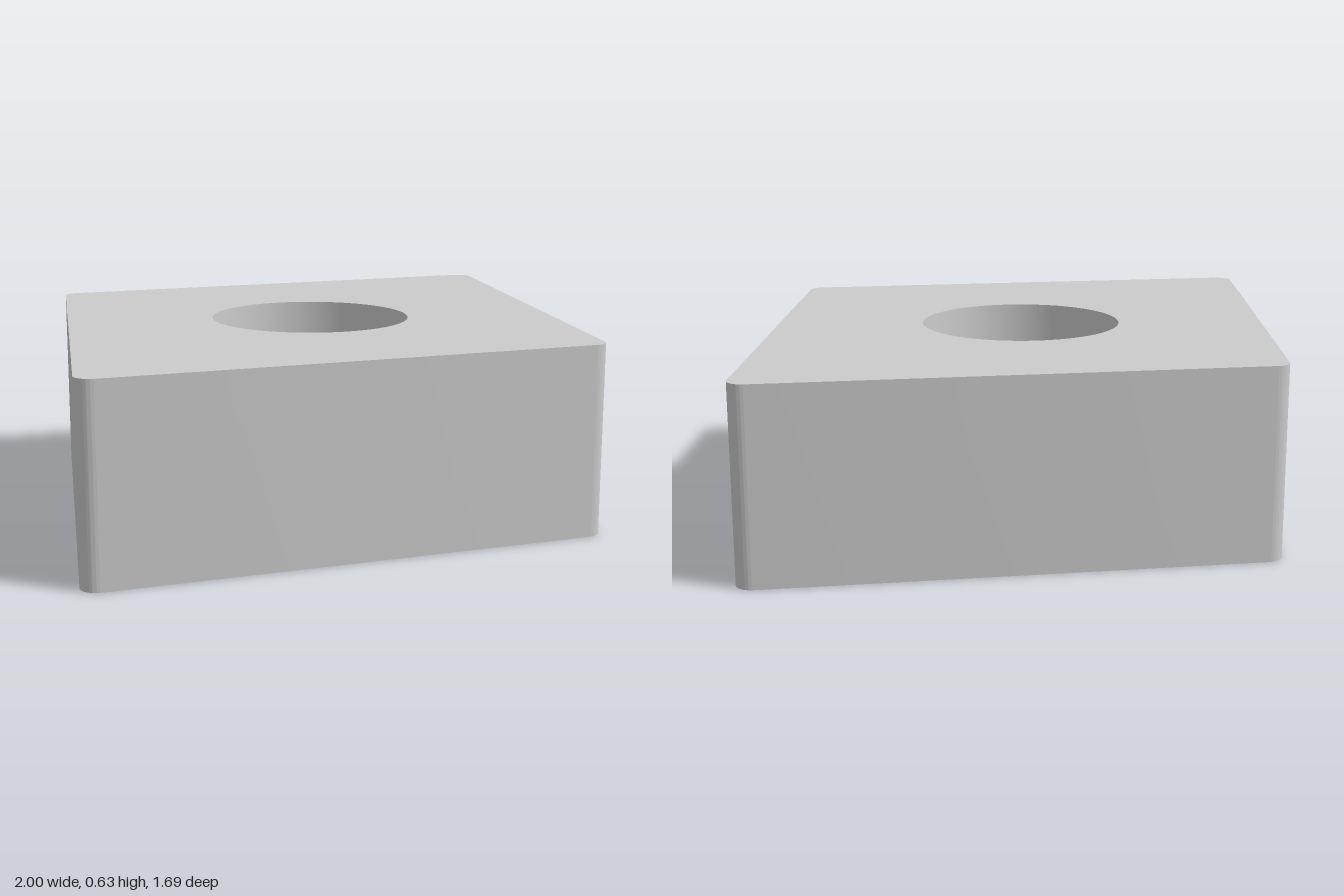
import * as THREE from 'three';
import { toCreasedNormals } from 'three/addons/utils/BufferGeometryUtils.js';

const HEIGHT = 0.635;
const INRADIUS = 0.847; // from the centre to each side
const CORNER = 0.053; // corner rounding
const HOLE = 0.345;

export function createModel() {
  const group = new THREE.Group();
  group.name = 'rhombicInsert';
  const rad = THREE.MathUtils.degToRad;

  // Rounded rhombus with 80 degree acute corners, one arc per corner
  const outline = new THREE.Shape();
  const inset = INRADIUS - CORNER;
  const acuteX = inset / Math.tan(rad(40));
  const obtuseX = inset / Math.tan(rad(50));
  const corners = [
    [obtuseX, -inset, -90, -10],
    [acuteX, inset, -10, 90],
    [-obtuseX, inset, 90, 170],
    [-acuteX, -inset, 170, 270],
  ];
  for (const [x, y, from, to] of corners) {
    outline.absarc(x, y, CORNER, rad(from), rad(to), false);
  }
  outline.closePath();

  // Round through hole
  const hole = new THREE.Path();
  hole.absarc(0, 0, HOLE, 0, Math.PI * 2, true);
  outline.holes.push(hole);

  // Extrude upwards, keeping the rims sharp and the curved walls smooth
  const plate = new THREE.ExtrudeGeometry(outline, { depth: HEIGHT, bevelEnabled: false, curveSegments: 32 });
  plate.rotateX(-Math.PI / 2);
  const body = new THREE.Mesh(
    toCreasedNormals(plate, rad(30)),
    new THREE.MeshStandardMaterial({ color: 0xcccccc })
  );
  body.name = 'plateWithHole';
  group.add(body);
  return group;
}
